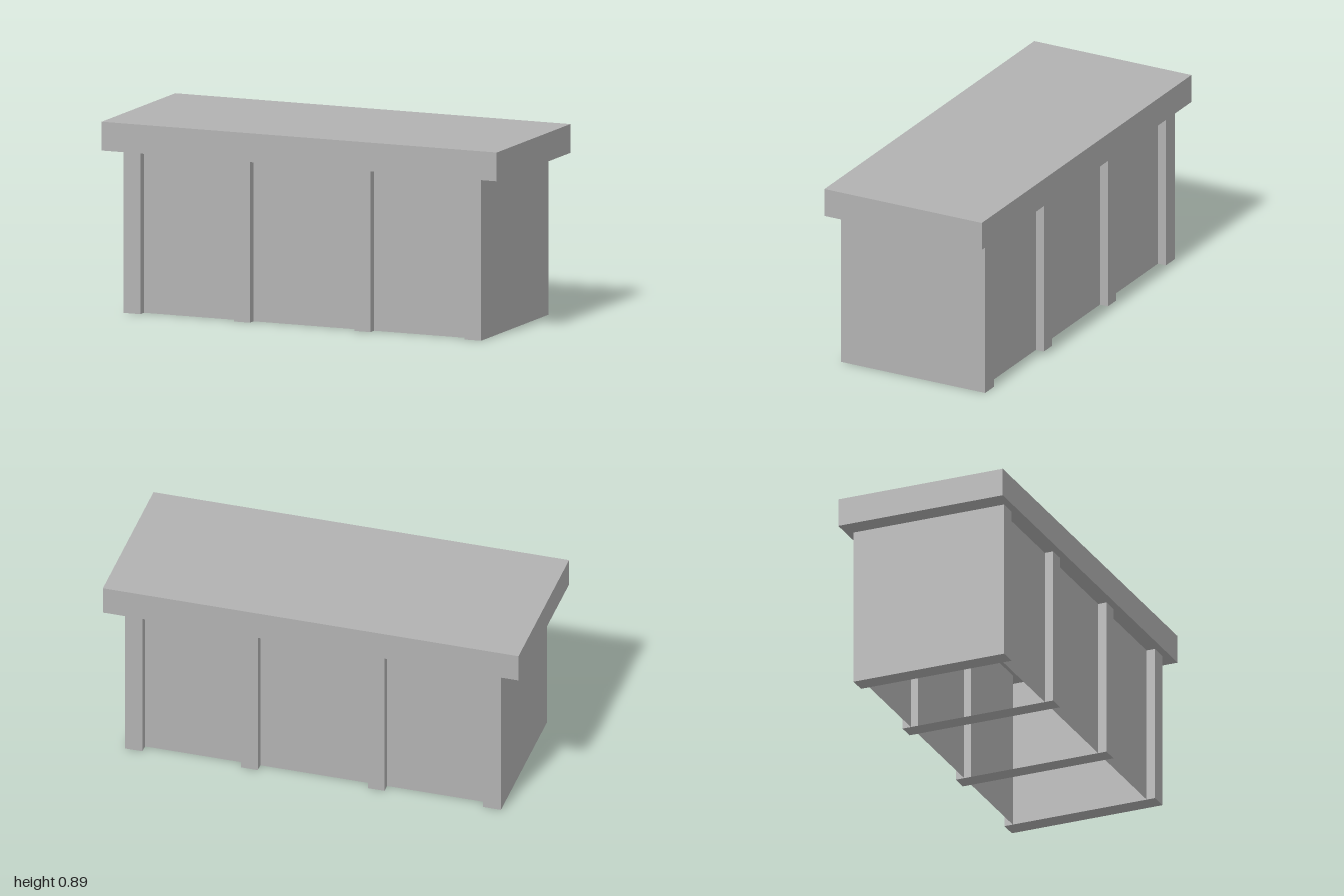
import * as THREE from 'three';

const HEIGHT = 0.76;
const OUTER_Z = 0.38;   // face of the pilasters
const PANEL_Z = 0.338;  // face of the recessed panels
const PILASTERS = [[-0.905, -0.82], [-0.345, -0.265], [0.265, 0.345], [0.82, 0.905]];

// Vertical sheet that follows a closed plan outline of [x, z] points
function wallGeometry(outline, height) {
  const pos = [];
  outline.forEach(([ax, az], i) => {
    const [bx, bz] = outline[(i + 1) % outline.length];
    pos.push(ax, 0, az, bx, 0, bz, bx, height, bz);
    pos.push(ax, 0, az, bx, height, bz, ax, height, az);
  });
  const geo = new THREE.BufferGeometry();
  geo.setAttribute('position', new THREE.Float32BufferAttribute(pos, 3));
  geo.computeVertexNormals();
  return geo;
}

export function createModel() {
  const group = new THREE.Group();
  group.name = 'counter';
  const grey = new THREE.MeshStandardMaterial({ color: 0xb2b2b2, side: THREE.DoubleSide });
  grey.name = 'grey';

  const add = (name, geo, x, y, z) => {
    const mesh = new THREE.Mesh(geo, grey);
    mesh.name = name;
    mesh.position.set(x, y, z);
    group.add(mesh);
    return mesh;
  };

  // Overhanging counter top
  add('counterTop', new THREE.BoxGeometry(2, 0.135, 0.83), 0, HEIGHT + 0.0675, 0);

  // Open-bottomed body: pilasters step out from the recessed panels, front and back
  const front = [];
  PILASTERS.forEach(([a, b], i) => {
    if (i > 0) front.push([a, PANEL_Z]);
    front.push([a, OUTER_Z], [b, OUTER_Z]);
    if (i < PILASTERS.length - 1) front.push([b, PANEL_Z]);
  });
  const back = front.map(([x, z]) => [x, -z]).reverse();
  add('bodyWalls', wallGeometry([...front, ...back], HEIGHT), 0, 0, 0);

  // Foot strips joining each front pilaster to the one behind it
  PILASTERS.forEach(([a, b]) => {
    const strip = new THREE.PlaneGeometry(b - a, OUTER_Z * 2).rotateX(Math.PI / 2);
    add('footStrip', strip, (a + b) / 2, 0, 0);
  });

  return group;
}
